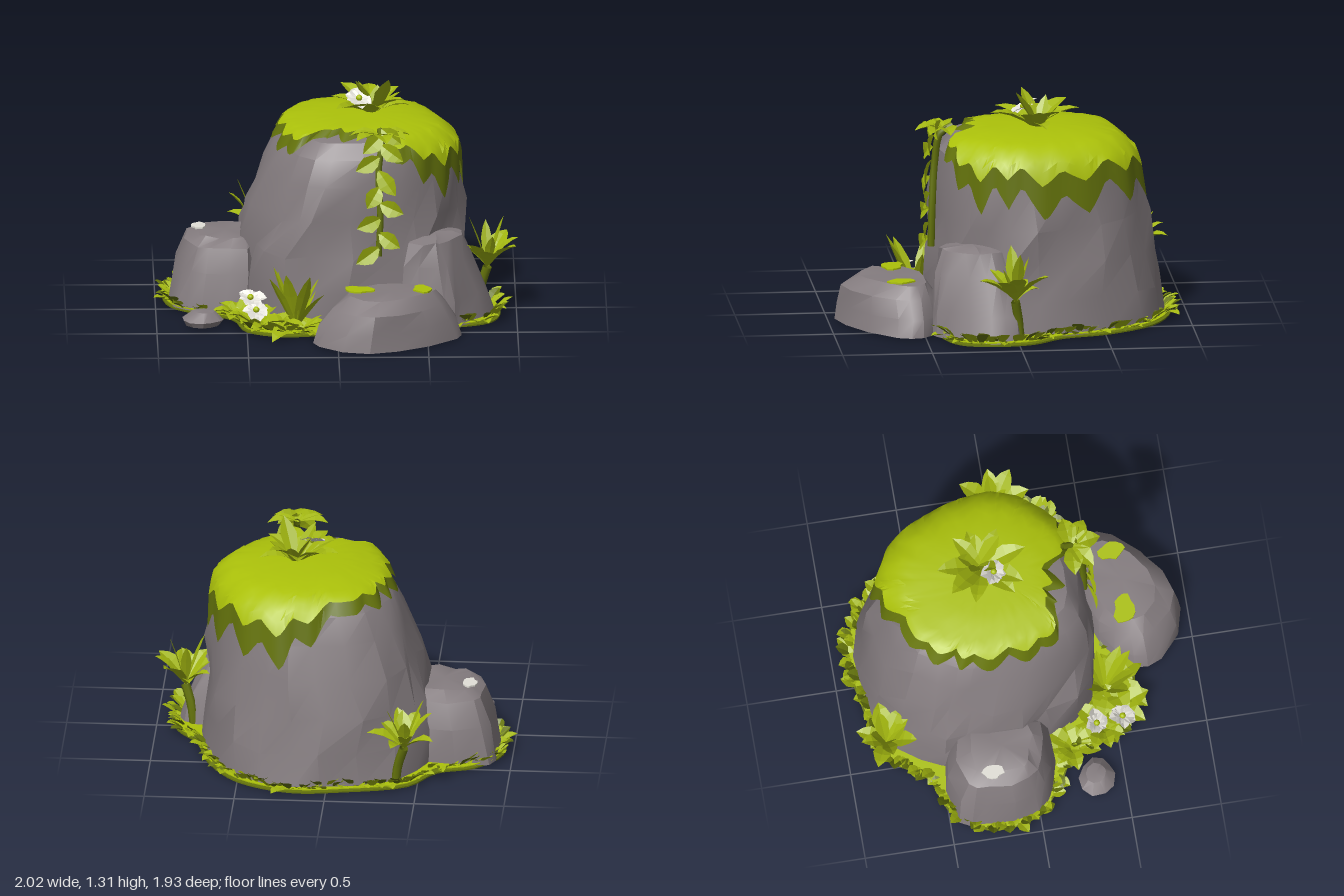
import * as THREE from 'three';
import { mergeGeometries, toCreasedNormals } from 'three/addons/utils/BufferGeometryUtils.js';

const mat = (name, color, side = THREE.FrontSide) => {
  const m = new THREE.MeshStandardMaterial({ color, side });
  m.name = name;
  return m;
};
let seed = 7;
const rnd = () => (seed = (seed * 16807) % 2147483647) / 2147483647;
const lerp = THREE.MathUtils.lerp;

// Closed smooth curve through [x, z] points, clockwise seen from above
const loopCurve = pts => new THREE.CatmullRomCurve3(pts.map(([x, z]) => new THREE.Vector3(x, 0, z)), true, 'centripetal');

// Surface with one outline fitted to a stack of levels [y, xMin, xMax, zMin, zMax]
function makeSurface(outline, levels) {
  const curve = loopCurve(outline), xs = outline.map(p => p[0]), zs = outline.map(p => p[1]);
  const x0 = Math.min(...xs), x1 = Math.max(...xs), z0 = Math.min(...zs), z1 = Math.max(...zs);
  return (u, t) => {
    const k = Math.min(Math.floor(t), levels.length - 2);
    const L = levels[k].map((v, i) => lerp(v, levels[k + 1][i], t - k));
    const p = curve.getPoint(u % 1);
    return new THREE.Vector3(lerp(L[1], L[2], (p.x - x0) / (x1 - x0)), L[0], lerp(L[3], L[4], (p.z - z0) / (z1 - z0)));
  };
}

// Closed rings of points joined from bottom to top
function loft(cols, rows, point, crease) {
  const pos = [], idx = [];
  for (let j = 0; j < rows; j++) for (let i = 0; i < cols; i++) pos.push(...point(i / cols, j).toArray());
  for (let j = 0; j < rows - 1; j++) for (let i = 0; i < cols; i++) {
    const a = j * cols + i, b = j * cols + (i + 1) % cols;
    idx.push(a, a + cols, b, b, a + cols, b + cols);
  }
  const g = new THREE.BufferGeometry();
  g.setAttribute('position', new THREE.Float32BufferAttribute(pos, 3));
  g.setIndex(idx);
  return toCreasedNormals(g, crease);
}

// Capped, slightly uneven stack of levels; rougher below y = 0.65
function rockGeometry(outline, levels, cols, jitter) {
  const mid = ([y, a, b, c, d]) => [y, (a + b) / 2, (a + b) / 2, (c + d) / 2, (c + d) / 2];
  const top = mid(levels[levels.length - 1]);
  top[0] += 0.008;
  const all = [mid(levels[0]), ...levels, top];
  const surface = makeSurface(outline, all);
  return loft(cols, all.length, (u, j) => {
    const p = surface(u, j), s = p.y < 0.65 ? jitter : jitter * 0.35;
    if (j > 1 && j < all.length - 1) p.add(new THREE.Vector3(rnd() - 0.5, (rnd() - 0.5) * 0.6, rnd() - 0.5).multiplyScalar(s));
    return p;
  }, 0.5);
}

// Folded pointed leaf growing along +z, then turned and placed
function leaf(len, width, lift, droop, yaw = 0, [x, y, z] = [0, 0, 0]) {
  const pos = [], idx = [], ts = [0, 0.25, 0.55, 0.8, 1], ws = [0.15, 0.75, 1, 0.6, 0];
  ts.forEach((t, i) => {
    const h = lift * t - droop * t * t, w = ws[i] * width / 2;
    pos.push(-w, h + w * 0.4, len * t, 0, h, len * t, w, h + w * 0.4, len * t);
    if (i) for (const s of [0, 1]) {
      const a = (i - 1) * 3 + s;
      idx.push(a, a + 3, a + 1, a + 1, a + 3, a + 4);
    }
  });
  let g = new THREE.BufferGeometry();
  g.setAttribute('position', new THREE.Float32BufferAttribute(pos, 3));
  g.setIndex(idx);
  g = g.toNonIndexed();
  g.computeVertexNormals();
  return g.rotateY(yaw).translate(x, y, z);
}

// Ring of leaves around one point
function rosette(at, count, len, width, lift, droop) {
  return Array.from({ length: count }, (_, i) => {
    const s = 0.75 + rnd() * 0.4;
    return leaf(len * s, width * s, lift * (0.6 + rnd() * 0.6), droop, i / count * Math.PI * 2 + rnd() * 0.5, at);
  });
}

const path = pts => new THREE.CatmullRomCurve3(pts.map(p => new THREE.Vector3(...p)));

export function createModel() {
  const root = new THREE.Group();
  const stone = mat('grey stone', 0x847c7f);
  const moss = mat('moss green', 0xacc20a, THREE.DoubleSide);
  const foliage = mat('leaf green', 0xa2b610, THREE.DoubleSide);
  const dark = mat('dark green', 0x66750c, THREE.DoubleSide);
  const white = mat('petal white', 0xe2e0d8, THREE.DoubleSide);
  const add = (name, geo, material) => {
    const m = new THREE.Mesh(geo, material);
    m.name = name;
    root.add(m);
  };

  // Main rock
  const mainOutline = [[-0.55, -0.4], [-0.5, -0.56], [-0.35, -0.77], [0, -0.86], [0.25, -0.87], [0.5, -0.73], [0.68, -0.4],
    [0.73, -0.1], [0.66, 0.1], [0.52, 0.26], [0.35, 0.38], [-0.1, 0.42], [-0.3, 0.37], [-0.45, 0.15], [-0.53, -0.1]];
  const mainLevels = [[0.004, -0.56, 0.74, -0.87, 0.43], [0.2, -0.55, 0.73, -0.84, 0.43], [0.4, -0.54, 0.72, -0.81, 0.42], [0.6, -0.48, 0.7, -0.77, 0.41],
    [0.8, -0.4, 0.68, -0.72, 0.4], [0.95, -0.33, 0.65, -0.67, 0.37], [1.03, -0.25, 0.56, -0.58, 0.3], [1.06, -0.1, 0.4, -0.4, 0.15]];
  add('mainRock', rockGeometry(mainOutline, mainLevels, 24, 0.06), stone);

  // Boulders around it
  add('rightBoulder', rockGeometry([[-0.92, -0.3], [-0.88, -0.45], [-0.5, -0.47], [-0.42, -0.3], [-0.42, 0], [-0.5, 0.13], [-0.75, 0.1], [-0.9, 0]],
    [[0.004, -0.92, -0.42, -0.47, 0.13], [0.22, -0.88, -0.42, -0.45, 0.11], [0.36, -0.83, -0.44, -0.4, 0.06], [0.4, -0.76, -0.46, -0.34, 0]], 16, 0.025), stone);
  add('frontBoulder', rockGeometry([[-0.14, 0.65], [0, 0.5], [0.25, 0.42], [0.55, 0.42], [0.68, 0.52], [0.67, 0.64], [0.38, 0.88], [0.1, 0.95], [-0.13, 0.78]],
    [[0.004, -0.13, 0.68, 0.42, 0.96], [0.1, -0.09, 0.65, 0.42, 0.95], [0.2, -0.02, 0.59, 0.44, 0.92], [0.27, 0.06, 0.54, 0.48, 0.83]], 16, 0.02), stone);
  add('leftBoulder', rockGeometry([[0.35, 0.42], [0.5, 0.1], [0.7, -0.05], [0.85, 0], [0.88, 0.15], [0.72, 0.38], [0.6, 0.46]],
    [[0.004, 0.33, 0.88, -0.05, 0.47], [0.15, 0.35, 0.84, -0.03, 0.46], [0.35, 0.38, 0.75, 0.02, 0.43], [0.48, 0.41, 0.69, 0.06, 0.4], [0.495, 0.46, 0.63, 0.12, 0.34]], 14, 0.03), stone);
  add('pebble', rockGeometry([[-0.86, 0.3], [-0.78, 0.24], [-0.68, 0.27], [-0.63, 0.36], [-0.68, 0.42], [-0.75, 0.45], [-0.84, 0.4]],
    [[0.004, -0.84, -0.65, 0.26, 0.43], [0.035, -0.86, -0.63, 0.24, 0.45], [0.08, -0.8, -0.68, 0.28, 0.4]], 10, 0.01), stone);

  // Moss cap, short over the front, with a dark band of drips below its lip
  const topT = mainLevels.length;
  const capSurface = makeSurface(mainOutline, [...mainLevels, [1.07, 0.15, 0.15, -0.13, -0.13]]);
  const ys = [...mainLevels.map(l => l[0]), 1.07];
  const tAt = y => {
    let k = 0;
    while (k < ys.length - 2 && ys[k + 1] < y) k++;
    return k + (y - ys[k]) / (ys[k + 1] - ys[k]);
  };
  const edge = [[0, 0.76], [45, 0.78], [65, 0.88], [80, 0.98], [92, 1.045], [125, 1.045], [145, 0.95], [180, 0.94], [205, 0.97],
    [235, 0.98], [255, 0.86], [275, 0.78], [300, 0.76], [360, 0.76]];
  const capPoint = (u, j) => {
    const c = capSurface(u, 4);
    const deg = (THREE.MathUtils.radToDeg(Math.atan2(c.z + 0.18, c.x - 0.18)) + 360) % 360;
    const k = Math.max(1, edge.findIndex(e => e[0] >= deg)), [a, b] = [edge[k - 1], edge[k]];
    const low = lerp(a[1], b[1], (deg - a[0]) / (b[0] - a[0]));
    const wave = Math.abs(((u * 17) % 1) * 2 - 1) - 0.5 + 0.2 * Math.sin(u * 41);
    const yLow = low + wave * (1.08 - low) * 0.5;
    const yLip = yLow + (1.07 - yLow) * 0.42;
    const p = capSurface(u, j === 0 ? tAt(yLow) : lerp(tAt(yLip), topT, (j - 1) / 8));
    const s = j === 0 ? 1.03 : lerp(1.06, 1.03, Math.min(1, (j - 1) / 4));
    return new THREE.Vector3(0.15 + (p.x - 0.15) * s, p.y + (j === 0 ? 0 : 0.022), -0.13 + (p.z + 0.13) * s);
  };
  add('mossCap', loft(120, 9, (u, j) => capPoint(u, j + 1), 0.6), moss);
  add('mossDrips', loft(120, 2, capPoint, 0.6), dark);

  // Ground moss: dark underside, bright top, and a grass fringe
  const ground = [[-0.95, -0.3], [-0.8, -0.5], [-0.6, -0.58], [-0.45, -0.78], [-0.1, -0.88], [0.2, -0.91], [0.5, -0.78], [0.68, -0.52],
    [0.76, -0.25], [0.88, -0.08], [0.91, 0.15], [0.85, 0.33], [0.65, 0.42], [0.3, 0.45], [0, 0.55], [-0.3, 0.6], [-0.5, 0.5], [-0.58, 0.25], [-0.75, 0.14], [-0.92, -0.02]];
  add('groundBase', rockGeometry(ground, [[0, -0.95, 0.91, -0.91, 0.6], [0.008, -0.95, 0.91, -0.91, 0.6]], 80, 0), dark);
  add('groundMoss', rockGeometry(ground, [[0.017, -0.94, 0.9, -0.9, 0.59], [0.022, -0.94, 0.9, -0.9, 0.59]], 80, 0), moss);
  const rim = loopCurve(ground), fringe = [[], [], []];
  for (let i = 0; i < 180; i++) {
    const p = rim.getPointAt(i / 180), d = rim.getTangentAt(i / 180);
    const yaw = Math.atan2(d.z, -d.x) + (rnd() - 0.5) * 1.4, inset = 0.02 + rnd() * 0.05;
    fringe[i % 3].push(leaf(0.06 + rnd() * 0.04, 0.07, 0.02 + rnd() * 0.08, 0.02, yaw, [p.x - d.z * inset, 0.01, p.z + d.x * inset]));
  }
  add('grassFringe', mergeGeometries([...fringe[0], ...fringe[1]]), foliage);
  add('darkGrassFringe', mergeGeometries(fringe[2]), dark);

  // Palm-like plants on leaning stems
  for (const [x, z, dx, dz] of [[0.79, -0.01, 0.05, 0.03], [-0.38, -0.74, -0.05, -0.05]]) {
    const at = [x + dx, 0.24, z + dz];
    add('palmStem', new THREE.TubeGeometry(path([[x, 0, z], [x + dx * 0.3, 0.12, z + dz * 0.3], at]), 5, 0.026, 7), dark);
    add('palmLeaves', mergeGeometries([...rosette(at, 8, 0.18, 0.1, 0.25, 0.09), ...rosette(at, 4, 0.1, 0.08, 0.28, 0.02)]), foliage);
  }

  // Rosettes on the top and at the front
  add('topRosette', mergeGeometries([...rosette([0.2, 1.07, -0.15], 9, 0.25, 0.11, 0.2, 0.1), ...rosette([0.22, 1.07, -0.17], 5, 0.14, 0.09, 0.2, 0)]), foliage);
  add('frontBush', mergeGeometries([...rosette([-0.23, 0.01, 0.47], 9, 0.17, 0.08, 0.34, 0.04), ...rosette([-0.2, 0.01, 0.5], 8, 0.22, 0.13, 0.16, 0.12)]), foliage);
  add('lowLeaves', mergeGeometries([[-0.46, 0.42], [-0.36, 0.52], [-0.55, 0.24]].flatMap(([x, z]) => rosette([x, 0.01, z], 8, 0.17, 0.1, 0.16, 0.1))), foliage);

  // Hanging vine, its leaves lying against the rock
  const vine = path([[0.23, 0.42, 0.43], [0.24, 0.65, 0.425], [0.23, 0.9, 0.41], [0.25, 1.07, 0.38], [0.24, 1.11, 0.31]]);
  add('vineStem', new THREE.TubeGeometry(vine, 16, 0.02, 6), dark);
  const vineLeaves = [-1.6, -0.9, 0.2, 1, 1.7].map(yaw => leaf(0.17, 0.11, 0.06, 0.06, yaw, [0.24, 1.09, 0.36]));
  for (let i = 0; i < 10; i++) {
    const p = vine.getPoint(i / 11), side = i % 2 ? 1 : -1;
    vineLeaves.push(leaf(0.13 + rnd() * 0.04, 0.1, 0, 0.03).rotateX(1.15).rotateZ(side * (0.5 + rnd() * 0.9)).translate(p.x, p.y + 0.05, p.z + 0.015));
  }
  add('vineLeaves', mergeGeometries(vineLeaves), foliage);

  // White flowers with green hearts, tipped a little forward
  for (const [x, y, z] of [[0.13, 1.17, -0.1], [-0.48, 0.16, 0.38], [-0.45, 0.13, 0.53]]) {
    add('flowerPetals', mergeGeometries(rosette([0, 0, 0], 8, 0.08, 0.075, 0.02, 0.01)).rotateX(0.45).translate(x, y, z), white);
    add('flowerHeart', new THREE.SphereGeometry(0.018, 8, 6).translate(x, y + 0.012, z + 0.006), moss);
  }

  // Thin ragged patches on the boulders
  for (const [x, y, z, rx, rz, m] of [[0.12, 0.283, 0.64, 0.09, 0.065, moss], [0.47, 0.28, 0.62, 0.055, 0.08, moss], [-0.76, 0.408, -0.24, 0.04, 0.06, white]]) {
    const rag = Array.from({ length: 13 }, (_, i) => {
      const a = i / 13 * Math.PI * 2, r = 0.75 + rnd() * 0.4;
      return new THREE.Vector2(Math.cos(a) * rx * r, Math.sin(a) * rz * r);
    });
    add('patch', new THREE.ExtrudeGeometry(new THREE.Shape(rag), { depth: 0.009, bevelEnabled: false }).rotateX(-Math.PI / 2).translate(x, y - 0.004, z), m);
  }
  return root;
}
